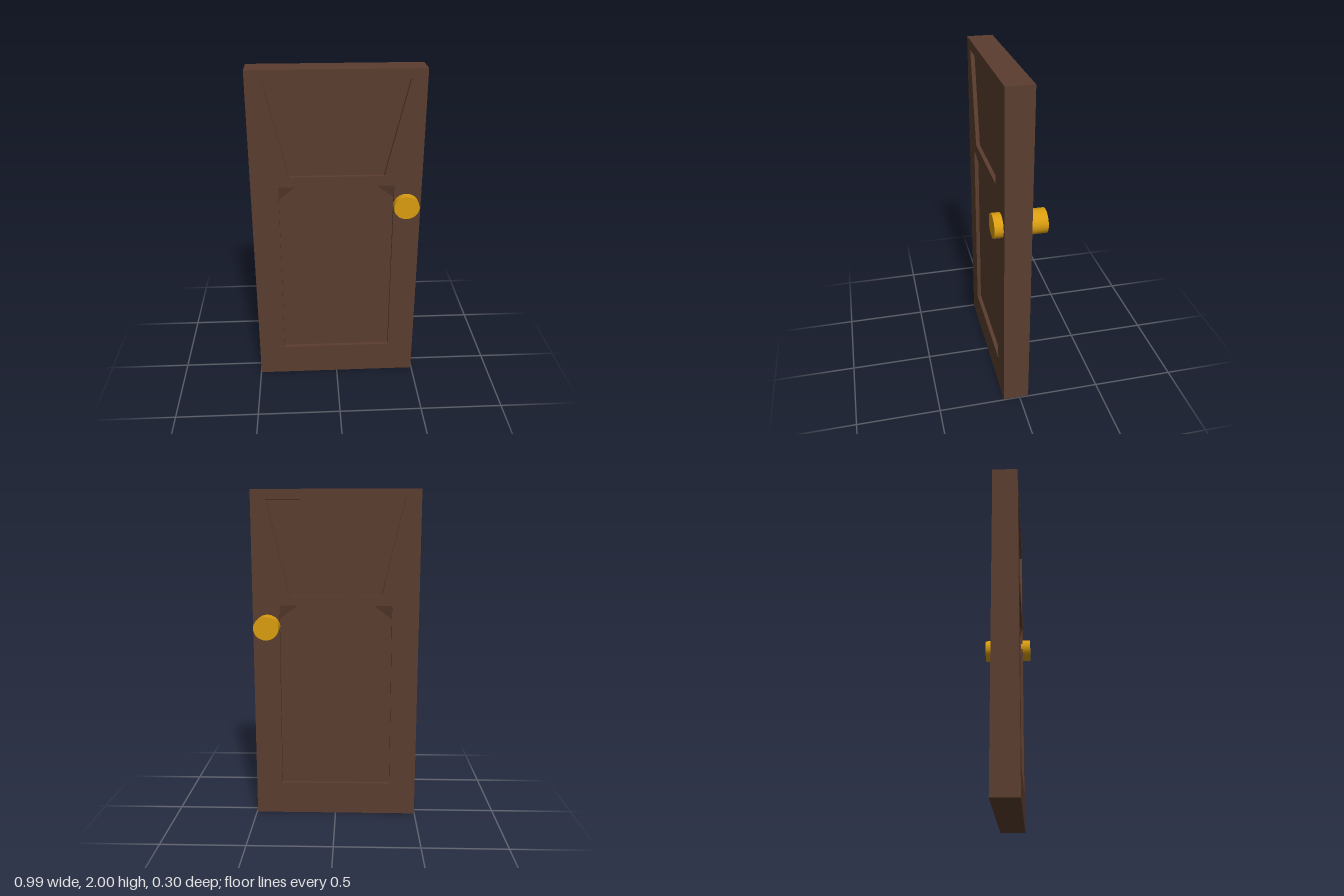
import * as THREE from 'three';
import { ConvexGeometry } from 'three/addons/geometries/ConvexGeometry.js';

const BACK = -0.055, FRONT = 0.1, RECESS = 0.024;

export function createModel() {
  const group = new THREE.Group();
  const wood = new THREE.MeshStandardMaterial({ color: 0x5a3d2f });
  wood.name = 'darkWood';
  const brass = new THREE.MeshStandardMaterial({ color: 0xd99c10 });
  brass.name = 'brass';

  const add = (name, geometry, material) => {
    const mesh = new THREE.Mesh(geometry, material);
    mesh.name = name;
    group.add(mesh);
    return mesh;
  };
  const outline = (pts) => pts.map(([x, y]) => new THREE.Vector2(x, y));
  const extrude = (shape, z0, z1) =>
    new THREE.ExtrudeGeometry(shape, { depth: z1 - z0, bevelEnabled: false }).translate(0, 0, z0);

  const upper = outline([[-0.275, 1.385], [0.275, 1.385], [0.405, 1.942], [-0.405, 1.942]]);
  const lower = outline([[-0.338, 0.2], [0.335, 0.2], [0.335, 1.325], [-0.338, 1.325]]);

  // Door frame, with an opening for each panel
  const frame = new THREE.Shape(outline([[-0.498, 0], [0.495, 0], [0.495, 2], [-0.498, 2]]));
  frame.holes.push(new THREE.Path(upper), new THREE.Path(lower));
  add('doorFrame', extrude(frame, BACK, FRONT), wood);

  // Panels, sunk into the frame on both faces
  add('upperPanel', extrude(new THREE.Shape(upper), BACK + RECESS, FRONT - RECESS), wood);
  add('lowerPanel', extrude(new THREE.Shape(lower), BACK + RECESS, FRONT - RECESS), wood);

  // Sloped fillets in the top corners of the lower panel
  for (const [face, dir] of [[FRONT, 1], [BACK, -1]]) {
    for (const [x, side] of [[-0.338, -1], [0.335, 1]]) {
      const floor = face - dir * RECESS;
      add('panelCorner', new ConvexGeometry([
        new THREE.Vector3(x, 1.325, face - dir * 0.001),
        new THREE.Vector3(x, 1.325, floor),
        new THREE.Vector3(x, 1.24, floor),
        new THREE.Vector3(x - side * 0.11, 1.325, floor),
      ]), wood);
    }
  }

  // Slightly oval knob on each face
  for (const [name, z0, z1] of [['frontKnob', 0.09, 0.15], ['backKnob', -0.15, -0.045]]) {
    const knob = new THREE.CylinderGeometry(1, 1, z1 - z0, 32).rotateX(Math.PI / 2);
    knob.scale(0.075, 0.07, 1);
    add(name, knob, brass).position.set(0.407, 1.2, (z0 + z1) / 2);
  }
  return group;
}
